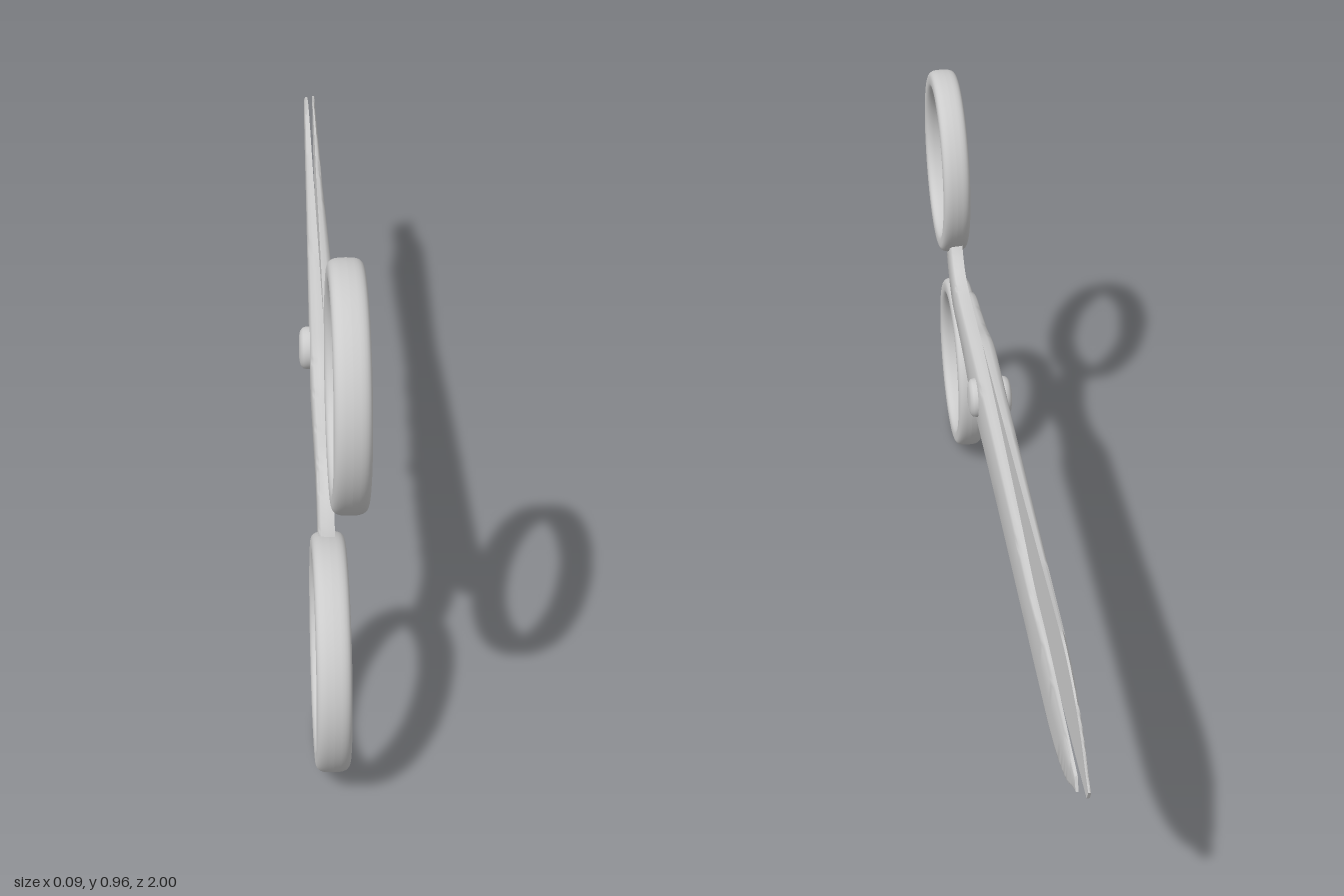
import * as THREE from 'three';
import { toCreasedNormals } from 'three/addons/utils/BufferGeometryUtils.js';

const material = new THREE.MeshStandardMaterial({ color: 0xcccccc });
const PIVOT_Y = 0.49, PIVOT_Z = 0.2;

// Lower and upper edge of one half, from finger ring to tip: [z, y, z, y]
const RAILS = [
  [0.735, 0.585, 0.65, 0.632], [0.715, 0.545, 0.625, 0.598], [0.68, 0.505, 0.59, 0.573],
  [0.62, 0.47, 0.54, 0.56], [0.53, 0.46, 0.47, 0.556], [0.43, 0.448, 0.38, 0.556],
  [0.33, 0.424, 0.3, 0.556], [0.2, 0.42, 0.2, 0.555], [0, 0.418, 0, 0.55],
  [-0.3, 0.412, -0.3, 0.538], [-0.5, 0.407, -0.5, 0.525], [-0.65, 0.402, -0.65, 0.533],
  [-0.76, 0.403, -0.76, 0.533], [-0.86, 0.423, -0.86, 0.531], [-0.93, 0.455, -0.93, 0.529],
  [-0.97, 0.485, -0.97, 0.528], [-1.0, 0.503, -0.988, 0.527],
];

// Cross-section: [fraction across the width, fraction of the thickness], flat inside
const SECTION = [[0, 0], [0, 0.5], [0.03, 0.85], [0.1, 1], [0.5, 1], [0.9, 1],
  [0.97, 0.85], [1, 0.5], [1, 0], [0.5, 0]];

function add(group, name, geometry) {
  const mesh = new THREE.Mesh(geometry, material);
  mesh.name = name;
  group.add(mesh);
  return mesh;
}

// Shank and blade lofted between the two edges, thinning toward the tip
function bladeGeometry(innerTip, outerTip) {
  const rail = k => new THREE.CatmullRomCurve3(
    RAILS.map(p => new THREE.Vector3(0, p[k + 1] - PIVOT_Y, p[k] - PIVOT_Z)));
  const low = rail(0), high = rail(2);
  const steps = 96, n = SECTION.length, positions = [], index = [];
  for (let i = 0; i <= steps; i++) {
    const a = low.getPoint(i / steps), b = high.getPoint(i / steps);
    for (const [v, u] of SECTION) {
      const p = a.clone().lerp(b, v);
      const f = THREE.MathUtils.clamp((0.1 - p.z) / 1.3, 0, 1);
      const inner = THREE.MathUtils.lerp(0, innerTip, f);
      const outer = THREE.MathUtils.lerp(0.028, outerTip, f);
      positions.push(THREE.MathUtils.lerp(inner, outer, u), p.y, p.z);
    }
  }
  for (let i = 0; i < steps; i++) {
    for (let j = 0; j < n; j++) {
      const k = (j + 1) % n;
      const a = i * n + j, b = i * n + k, c = a + n, d = b + n;
      index.push(a, d, b, a, c, d);
    }
  }
  for (let j = 1; j < n - 1; j++) {
    index.push(0, j, j + 1);
    index.push(steps * n, steps * n + j + 1, steps * n + j);
  }
  const geometry = new THREE.BufferGeometry();
  geometry.setAttribute('position', new THREE.Float32BufferAttribute(positions, 3));
  geometry.setIndex(index);
  return toCreasedNormals(geometry, 0.85);
}

// Finger ring with a rounded, wide band
function ringGeometry() {
  const soft = t => Math.sign(t) * Math.pow(Math.abs(t), 0.65);
  const profile = [];
  for (let i = 0; i <= 28; i++) {
    const a = (i % 28) / 28 * Math.PI * 2;
    profile.push(new THREE.Vector2(0.1865 + 0.0215 * soft(Math.cos(a)), 0.03 * soft(Math.sin(a))));
  }
  return new THREE.LatheGeometry(profile, 72).rotateZ(-Math.PI / 2);
}

function half(name, innerTip, outerTip, ringX) {
  const group = new THREE.Group();
  group.name = name;
  add(group, 'blade', bladeGeometry(innerTip, outerTip));
  add(group, 'fingerRing', ringGeometry())
    .position.set(ringX, 0.757 - PIVOT_Y, 0.79 - PIVOT_Z);
  group.position.set(0, PIVOT_Y, PIVOT_Z);
  return group;
}

export function createModel() {
  const model = new THREE.Group();
  model.name = 'scissors';

  // The second half is the first turned half a revolution and slightly opened
  model.add(half('leftHalf', 0.021, 0.026, 0.015));
  const right = half('rightHalf', -0.005, 0.0, 0.011);
  right.rotation.set(0.018, 0, Math.PI);
  model.add(right);

  // Pivot rivet with a rounded head on both sides
  const head = [[0, 0.046], [0.024, 0.0455], [0.034, 0.043], [0.04, 0.038], [0.042, 0.031], [0.042, 0.024]];
  const profile = [
    ...head.map(([r, y]) => new THREE.Vector2(r, -y)),
    ...head.slice().reverse().map(([r, y]) => new THREE.Vector2(r, y)),
  ];
  add(model, 'rivet', new THREE.LatheGeometry(profile, 40).rotateZ(-Math.PI / 2))
    .position.set(-0.001, PIVOT_Y - 0.003, PIVOT_Z);

  return model;
}
